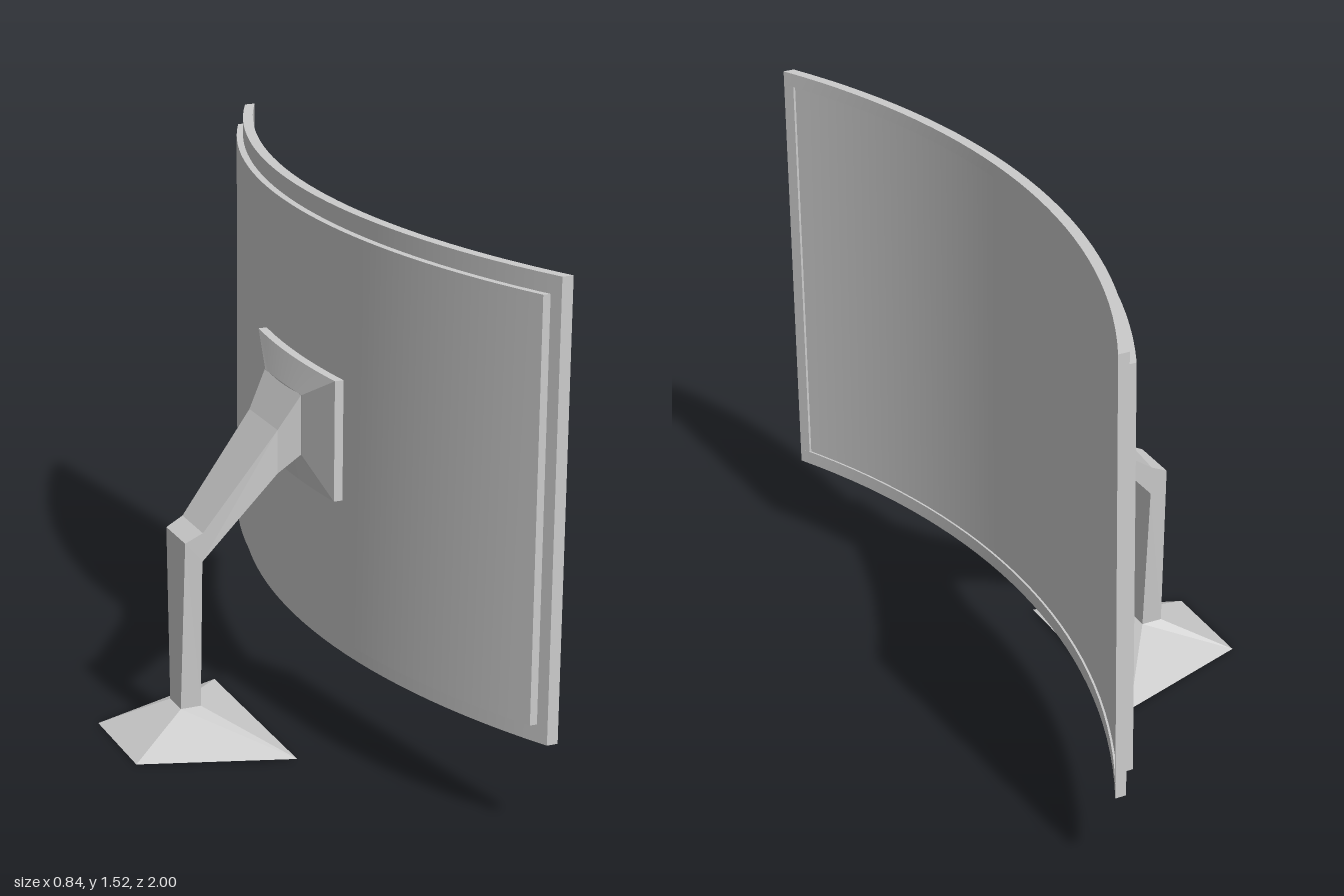
import * as THREE from 'three';

const grey = new THREE.MeshStandardMaterial({ color: 0xcccccc });
const flatGrey = new THREE.MeshStandardMaterial({ color: 0xcccccc, flatShading: true, side: THREE.DoubleSide });

// Forward bow of the display at distance z from its middle (circular arc)
const R = 2.2;
const bow = (z) => R - Math.sqrt(R * R - z * z);

function named(name, geometry, material = grey) {
  const mesh = new THREE.Mesh(geometry, material);
  mesh.name = name;
  return mesh;
}

// Slab between two x depths, two heights and two z limits, bent along the bow
function curvedSlab(x0, x1, y0, y1, z0, z1, segments = 32, shape = null) {
  const geo = new THREE.BoxGeometry(x1 - x0, y1 - y0, z1 - z0, 1, 1, segments);
  geo.translate((x0 + x1) / 2, (y0 + y1) / 2, (z0 + z1) / 2);
  const p = geo.attributes.position;
  const v = new THREE.Vector3();
  for (let i = 0; i < p.count; i++) {
    v.fromBufferAttribute(p, i);
    if (shape) shape(v);
    p.setXYZ(i, v.x + bow(v.z), v.y, v.z);
  }
  geo.computeVertexNormals();
  return geo;
}

// Skin over four-cornered rings, each corner a [x, y, z]
function loft(rings, capped) {
  const pos = [];
  const quad = (a, b, c, d) => pos.push(...a, ...b, ...c, ...a, ...c, ...d);
  for (let i = 0; i < rings.length - 1; i++) {
    for (let k = 0; k < 4; k++) {
      const n = (k + 1) % 4;
      quad(rings[i][k], rings[i + 1][k], rings[i + 1][n], rings[i][n]);
    }
  }
  if (capped) {
    quad(...rings[0]);
    quad(...[...rings[rings.length - 1]].reverse());
  }
  const geo = new THREE.BufferGeometry();
  geo.setAttribute('position', new THREE.Float32BufferAttribute(pos, 3));
  geo.computeVertexNormals();
  return geo;
}

// Ring from a rear point, a front point and their half widths
const ring = (rx, ry, fx, fy, rw, fw = rw) =>
  [[rx, ry, rw], [rx, ry, -rw], [fx, fy, -fw], [fx, fy, fw]];

export function createModel() {
  const model = new THREE.Group();
  model.name = 'curvedMonitor';

  // Display: panel, thin raised bezel around the screen, rear cover
  const display = new THREE.Group();
  display.name = 'display';
  display.add(named('screenPanel', curvedSlab(0.145, 0.17, 0.27, 1.52, -1, 1)));
  display.add(named('rearCover', curvedSlab(0.125, 0.147, 0.32, 1.47, -0.97, 0.97)));
  display.add(named('bezelBottom', curvedSlab(0.168, 0.176, 0.27, 0.31, -1, 1)));
  display.add(named('bezelTop', curvedSlab(0.168, 0.176, 1.48, 1.52, -1, 1)));
  for (const [name, z] of [['bezelRight', -0.985], ['bezelLeft', 0.985]]) {
    display.add(named(name, curvedSlab(0.168, 0.176, 0.31, 1.48, z - 0.015, z + 0.015, 1)));
  }
  model.add(display);

  // Mount: bent plate with a tapered back leading to the arm
  const mount = new THREE.Group();
  mount.name = 'mount';
  mount.add(named('mountPlate', curvedSlab(0.1, 0.13, 0.725, 1.065, -0.26, 0.26, 10)));
  mount.add(named('mountTaper', curvedSlab(0.075, 0.1, 0.725, 1.065, -0.26, 0.26, 10, (v) => {
    if (v.x < 0.09) {
      v.y = 0.905 + (v.y - 0.895) * 0.5;
      v.z *= 0.48;
    }
  })));
  model.add(mount);

  // Arm: upright, elbow and sloping part flaring into the mount
  model.add(named('arm', loft([
    ring(-0.245, 0.09, -0.185, 0.09, 0.04),
    ring(-0.24, 0.59, -0.19, 0.53, 0.07),
    ring(-0.19, 0.615, -0.19, 0.53, 0.075, 0.07),
    ring(0.02, 0.89, 0.02, 0.765, 0.098),
    ring(0.077, 0.99, 0.077, 0.82, 0.125),
  ], true), flatGrey));

  // Base: hollow spreading foot, wider toward the screen
  model.add(named('base', loft([
    ring(-0.42, 0, -0.006, 0.006, 0.15, 0.3),
    ring(-0.245, 0.09, -0.185, 0.09, 0.04),
  ], false), flatGrey));

  return model;
}
